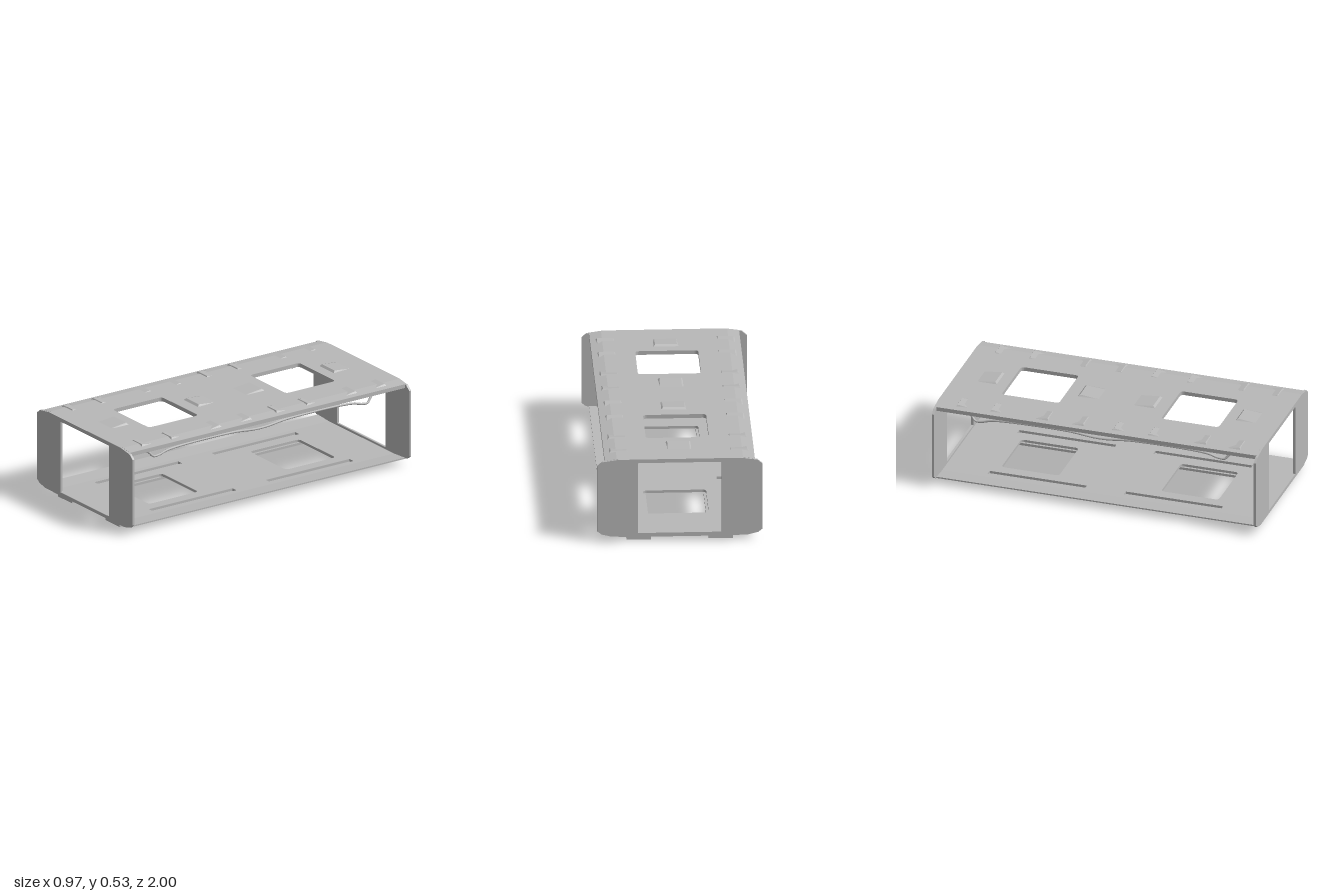
import * as THREE from 'three';

const grey = new THREE.MeshStandardMaterial({ color: 0xb8b8b8 });
grey.name = 'panel grey';
const HALF = [1, -1];

export function createModel() {
  const root = new THREE.Group();
  root.name = 'corridorModule';

  const add = (name, geo) => {
    const m = new THREE.Mesh(geo, grey);
    m.name = name;
    root.add(m);
    return m;
  };
  // box given by its min and max corners
  const box = (name, x0, x1, y0, y1, z0, z1) =>
    add(name, new THREE.BoxGeometry(x1 - x0, y1 - y0, z1 - z0))
      .position.set((x0 + x1) / 2, (y0 + y1) / 2, (z0 + z1) / 2);

  const rounded = (path, x0, x1, y0, y1, r) => {
    path.moveTo(x0 + r, y0);
    path.lineTo(x1 - r, y0).quadraticCurveTo(x1, y0, x1, y0 + r);
    path.lineTo(x1, y1 - r).quadraticCurveTo(x1, y1, x1 - r, y1);
    path.lineTo(x0 + r, y1).quadraticCurveTo(x0, y1, x0, y1 - r);
    path.lineTo(x0, y0 + r).quadraticCurveTo(x0, y0, x0 + r, y0);
    return path;
  };
  const polygon = pts => new THREE.Shape(pts.map(p => new THREE.Vector2(...p)));
  const extrude = (shape, depth) =>
    new THREE.ExtrudeGeometry(shape, { depth, bevelEnabled: false, curveSegments: 5 });

  // flat deck in the xz plane, with two square hatches and optional slots
  const deck = (name, halfWidth, y0, y1, slots) => {
    const s = polygon([[-halfWidth, -0.988], [halfWidth, -0.988], [halfWidth, 0.988], [-halfWidth, 0.988]]);
    for (const k of HALF) {
      const [a, b] = k > 0 ? [0.315, 0.67] : [-0.67, -0.315];
      s.holes.push(rounded(new THREE.Path(), -0.185, 0.185, a, b, 0.025));
      if (!slots) continue;
      const [c, d] = k > 0 ? [0.12, 0.72] : [-0.72, -0.12];
      for (const side of HALF) {
        const [e, f] = side > 0 ? [0.255, 0.295] : [-0.295, -0.255];
        s.holes.push(rounded(new THREE.Path(), e, f, c, d, 0.004));
      }
    }
    add(name, extrude(s, y1 - y0).rotateX(-Math.PI / 2)).position.y = y0;
  };
  deck('roof', 0.37, 0.497, 0.52, false);
  deck('floor', 0.33, 0.026, 0.042, true);

  // sloping edge strips along the roof and floor
  for (const s of HALF) {
    const strip = (name, pts) => {
      const g = extrude(polygon(pts.map(([x, y]) => [x * s, y])), 1.976);
      add(name, g).position.z = -0.988;
    };
    strip('roofEdge', [[0.37, 0.497], [0.44, 0.485], [0.44, 0.509], [0.37, 0.52]]);
    strip('floorEdge', [[0.33, 0.026], [0.4, 0.033], [0.44, 0.042], [0.44, 0.05], [0.33, 0.042]]);
  }

  // end frames with a doorway
  const outline = [[0.36, 0.52], [0.455, 0.506], [0.485, 0.48], [0.485, 0.07],
    [0.46, 0.05], [0.4, 0.035]];
  const frame = polygon([...outline, ...outline.map(([x, y]) => [-x, y]).reverse()]);
  frame.holes.push(rounded(new THREE.Path(), -0.245, 0.245, 0.055, 0.497, 0.002));
  for (const s of HALF) {
    add(s > 0 ? 'frontFrame' : 'backFrame', extrude(frame, 0.014)).position.z = s > 0 ? 0.986 : -1;
  }

  // stepped runners under the floor
  for (const x of HALF) for (const z of HALF) {
    const runner = (name, xo, y0, z0, z1) => {
      const [a, b] = x > 0 ? [0.17, xo] : [-xo, -0.17];
      const [c, d] = z > 0 ? [z0, z1] : [-z1, -z0];
      box(name, a, b, y0, 0.027, c, d);
    };
    runner('runnerFoot', 0.312, 0.002, 0.73, 0.97);
    runner('runnerMiddle', 0.30, 0.012, 0.24, 0.73);
    runner('runnerFoot', 0.312, 0.002, 0.008, 0.24);
  }

  // wedge-shaped louvres and centre bumps on the roof; tallest end faces dir
  const wedge = (name, x, z, w, l, h, base, dir) => {
    const g = new THREE.BoxGeometry(w, h, l);
    const p = g.attributes.position;
    for (let i = 0; i < p.count; i++) {
      if (p.getY(i) < 0) continue;
      if (p.getZ(i) * dir < 0) p.setY(i, -h / 2 + 0.001);
      else p.setZ(i, p.getZ(i) * 0.8);
      p.setX(i, p.getX(i) * 0.85);
    }
    g.computeVertexNormals();
    add(name, g).position.set(x, base + h / 2, z);
  };
  for (const z of HALF) {
    for (const x of HALF) {
      [[0.125, -1], [0.345, -1], [0.63, 1], [0.84, 1]].forEach(([d, dir]) =>
        wedge('roofLouvre', x * 0.353, z * d, 0.11, 0.075, 0.011, 0.514, z * dir));
    }
    wedge('roofBump', 0, z * 0.8, 0.15, 0.13, 0.013, 0.518, -z);
    wedge('roofBump', 0, z * 0.17, 0.15, 0.14, 0.013, 0.518, z);
  }

  // ceiling panel and pipes
  box('ceilingPanel', -0.25, 0.25, 0.478, 0.498, -0.27, 0.27);
  const tube = (name, pts, r, seg = 40) => add(name, new THREE.TubeGeometry(
    new THREE.CatmullRomCurve3(pts.map(p => new THREE.Vector3(...p)), false, 'centripetal'), seg, r, 8));
  for (const s of HALF) {
    // long handrail dipping down from the roof
    const half = [[0.34, 0.492, 0.87], [0.35, 0.465, 0.85], [0.36, 0.45, 0.8], [0.37, 0.42, 0.77],
      [0.37, 0.42, 0.73], [0.37, 0.438, 0.66], [0.37, 0.445, 0.2], [0.37, 0.43, 0.04]];
    const rail = [...half, ...half.map(([x, y, z]) => [x, y, -z]).reverse()];
    tube('handrail', rail.map(([x, y, z]) => [x * s, y, z]), 0.007, 120);
    // thick side pipe at the middle of the ceiling
    tube('sidePipe', [[0.29, 0.49, 0.36], [0.3, 0.475, 0.31], [0.3, 0.472, 0],
      [0.3, 0.475, -0.31], [0.29, 0.49, -0.36]].map(([x, y, z]) => [x * s, y, z]), 0.014);
    // arched pipe beyond each hatch
    tube('crossPipe', [[-0.26, 0.48, 0.62], [-0.27, 0.473, 0.71], [-0.23, 0.473, 0.75], [0, 0.486, 0.76],
      [0.23, 0.473, 0.75], [0.27, 0.473, 0.71], [0.26, 0.48, 0.62]].map(([x, y, z]) => [x, y, z * s]), 0.012);
  }
  return root;
}
